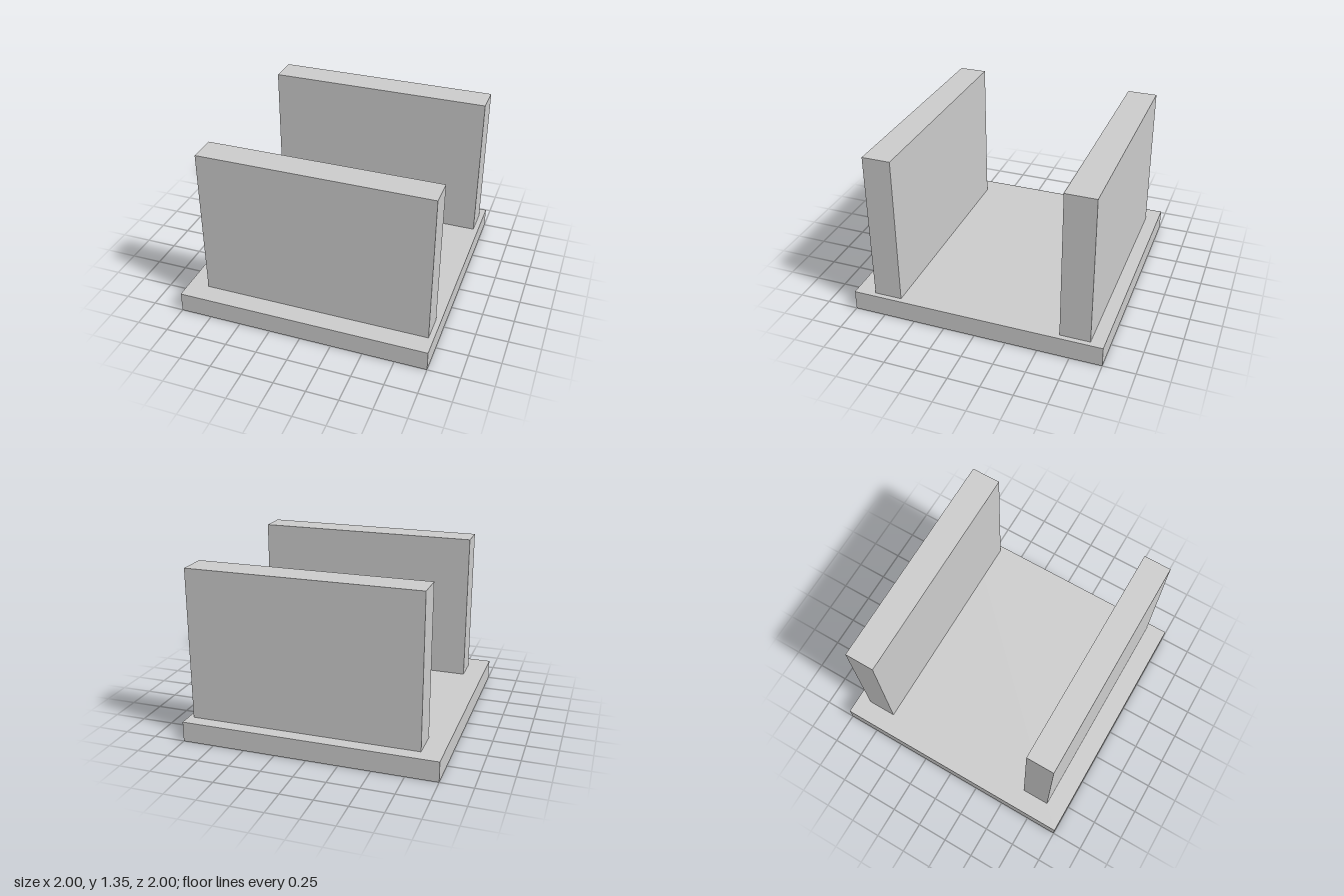
import * as THREE from 'three';

const material = new THREE.MeshStandardMaterial({ color: 0xcccccc, flatShading: true });

// Box given by its lower and upper limits on each axis
function block(name, [x0, x1], [y0, y1], [z0, z1]) {
  const mesh = new THREE.Mesh(new THREE.BoxGeometry(x1 - x0, y1 - y0, z1 - z0), material);
  mesh.position.set((x0 + x1) / 2, (y0 + y1) / 2, (z0 + z1) / 2);
  mesh.name = name;
  return mesh;
}

export function createModel() {
  const group = new THREE.Group();
  group.name = 'twoWallStand';

  const baseTop = 0.16;
  const wallX = [-0.84, 0.96];
  const wallY = [baseTop, 1.35];

  // Square base plate
  group.add(block('base', [-1, 1], [0, baseTop], [-1, 1]));

  // Upright walls, the back one slightly thicker
  group.add(block('frontWall', wallX, wallY, [0.62, 0.84]));
  group.add(block('backWall', wallX, wallY, [-0.895, -0.66]));

  return group;
}
